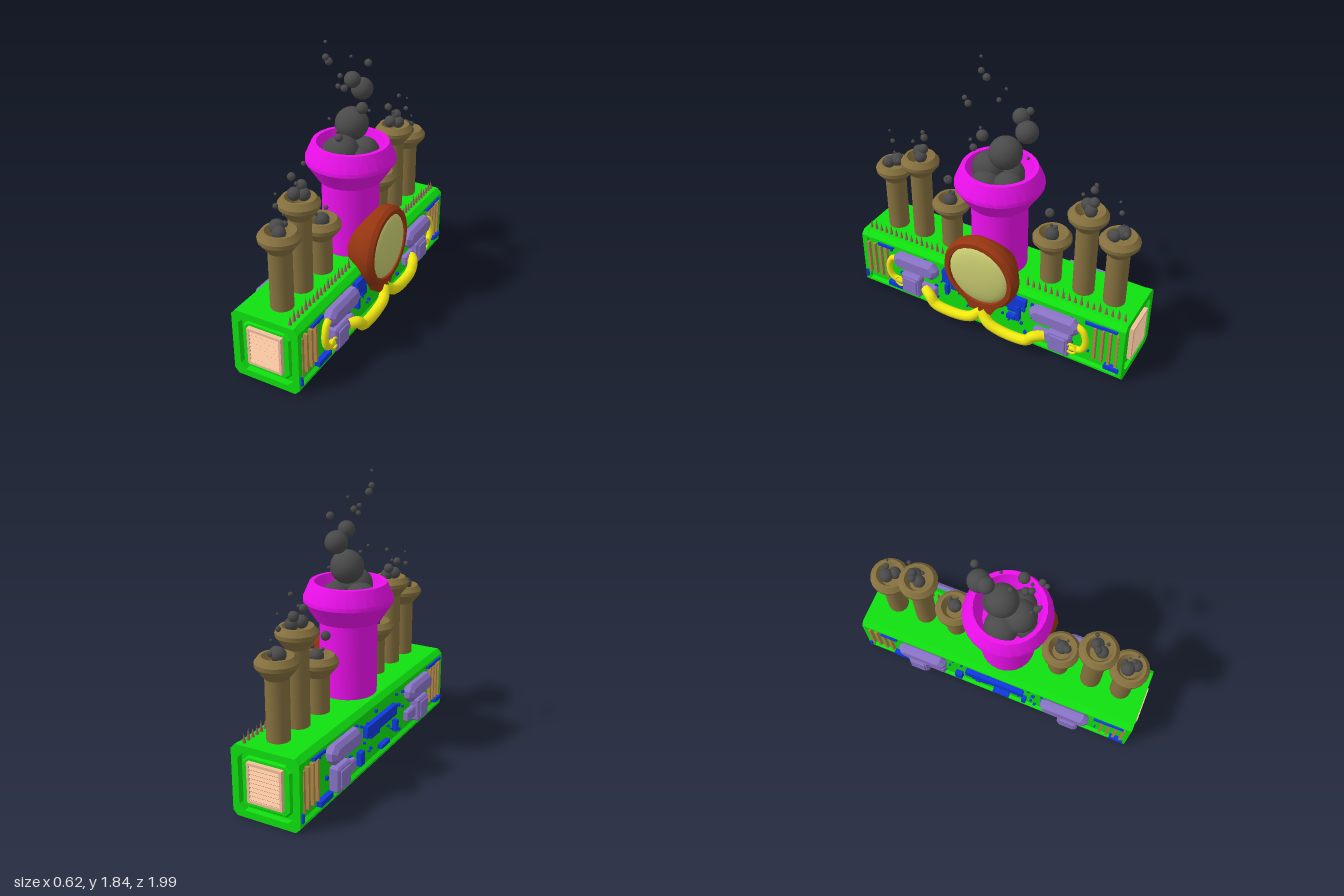
import * as THREE from 'three';
import { toCreasedNormals } from 'three/addons/utils/BufferGeometryUtils.js';

const mat = (color, side = THREE.FrontSide) => new THREE.MeshStandardMaterial({ color, side });
const GREEN = mat(0x10e010), MAGENTA = mat(0xee10ee), BROWN = mat(0x86713f), RUST = mat(0x963510);
const LENS = mat(0xc8cc70), PURPLE = mat(0x8a74c8), YELLOW = mat(0xf0e810), BLUE = mat(0x1038e0);
const PEACH = mat(0xf0c09c), TAN = mat(0xb08a48), SPIKE = mat(0xa0685a), SMOKE = mat(0x4a4a4a);

const V = (x, y, z) => new THREE.Vector3(x, y, z);

function add(parent, name, geo, material, x = 0, y = 0, z = 0) {
  const m = new THREE.Mesh(geo, material);
  m.name = name;
  m.position.set(x, y, z);
  parent.add(m);
  return m;
}
const box = (w, h, d) => new THREE.BoxGeometry(w, h, d);
const polygon = pts => new THREE.Shape(pts.map(p => new THREE.Vector2(...p)));
const lathe = (pts, n = 24) =>
  toCreasedNormals(new THREE.LatheGeometry(pts.map(p => new THREE.Vector2(...p)), n), 0.45);
const tube = (pts, r) => new THREE.TubeGeometry(new THREE.CatmullRomCurve3(pts), 28, r, 10);

// Rectangle with cut corners
const cutRect = (w, h, c) => {
  const a = w / 2, b = h / 2;
  return polygon([[-a + c, -b], [a - c, -b], [a, -b + c], [a, b - c],
    [a - c, b], [-a + c, b], [-a, b - c], [-a, -b + c]]);
};
// Plate standing out along +z with a bevelled front edge
function plate(w, h, d, cut, bevel) {
  return new THREE.ExtrudeGeometry(cutRect(w - 2 * bevel, h - 2 * bevel, cut), {
    depth: d - 2 * bevel, bevelThickness: bevel, bevelSize: bevel, bevelSegments: 1,
  }).translate(0, 0, bevel);
}

// Long casing with recessed sides and framed ends
function casing() {
  const g = new THREE.Group();
  g.name = 'casing';
  g.position.set(-0.025, 0.225, 0);
  const half = [[0.19, -0.225], [0.225, -0.195], [0.225, -0.18], [0.205, -0.165],
    [0.205, 0.165], [0.225, 0.18], [0.225, 0.195], [0.19, 0.225]];
  const section = [...half, ...half.map(([x, y]) => [-x, y]).reverse()];
  add(g, 'casingCore', new THREE.ExtrudeGeometry(polygon(section), { depth: 1.88, bevelEnabled: false }),
    GREEN, 0, 0, -0.94);
  const frame = cutRect(0.45, 0.45, 0.03);
  frame.holes.push(cutRect(0.36, 0.36, 0.035));
  const frameGeo = new THREE.ExtrudeGeometry(frame, { depth: 0.04, bevelEnabled: false });
  for (const s of [1, -1]) {
    const end = new THREE.Group();
    end.name = 'casingEnd';
    end.rotation.y = s > 0 ? 0 : Math.PI;
    g.add(end);
    add(end, 'endFrame', frameGeo, GREEN, 0, 0, 0.94);
    add(end, 'endPanel', plate(0.32, 0.32, 0.03, 0.03, 0.01), GREEN, 0, 0, 0.935);
    // Louvred vent
    for (const t of [-1, 1]) {
      add(end, 'ventSide', box(0.016, 0.25, 0.035), PEACH, t * 0.108, 0.01, 0.975);
      add(end, 'ventRail', box(0.23, 0.016, 0.035), PEACH, 0, 0.01 + t * 0.117, 0.975);
    }
    for (let i = 0; i < 8; i++) {
      const slat = add(end, 'ventSlat', box(0.205, 0.024, 0.008), PEACH, 0, -0.085 + i * 0.027, 0.982);
      slat.rotation.x = -0.8;
    }
  }
  return g;
}

// Fittings of one long side; local x runs along the casing, z points outwards
function sideFittings(s) {
  const g = new THREE.Group();
  g.name = s > 0 ? 'leftSideFittings' : 'rightSideFittings';
  g.rotation.y = s * Math.PI / 2;
  g.position.x = s > 0 ? 0.18 : -0.23;
  for (const e of [1, -1]) {
    add(g, 'canister', plate(0.345, 0.125, 0.08, 0.025, 0.025), PURPLE, e * 0.52, e > 0 ? 0.33 : 0.342, 0);
    add(g, 'pumpBox', plate(0.15, 0.165, 0.07, 0.004, 0.012), PURPLE, e * 0.56, 0.168, 0);
    add(g, 'pumpLid', plate(0.11, 0.12, 0.014, 0.003, 0.004), PURPLE, e * 0.56, 0.168, 0.066);
    add(g, 'pumpOutlet', plate(0.12, 0.08, 0.045, 0.004, 0.01), PURPLE, e * 0.43, 0.16, 0);
    for (let i = 0; i < 4; i++)
      add(g, 'grilleBar', box(0.018, 0.26, 0.03), TAN, e * (0.785 + i * 0.05), 0.24, 0.01);
    if (s > 0) {
      add(g, 'hose', tube([V(e * 0.67, 0.35, 0.04), V(e * 0.715, 0.33, 0.045), V(e * 0.74, 0.25, 0.05),
        V(e * 0.715, 0.18, 0.05), V(e * 0.62, 0.155, 0.04)], 0.022), YELLOW);
      add(g, 'hoseRing', new THREE.TorusGeometry(0.035, 0.008, 8, 20), YELLOW, e * 0.65, 0.165, 0.06);
      add(g, 'mainPipe', tube([V(0, 0.19, 0.06), V(e * 0.06, 0.135, 0.085), V(e * 0.14, 0.105, 0.085),
        V(e * 0.27, 0.098, 0.085), V(e * 0.35, 0.115, 0.085), V(e * 0.39, 0.16, 0.08),
        V(e * 0.45, 0.165, 0.04)], 0.036), YELLOW);
    }
  }
  // Circuit blocks: x, y, width, height
  const blocks = [[-0.78, 0.395, 0.12, 0.02], [-0.705, 0.08, 0.14, 0.035], [0.91, 0.09, 0.1, 0.03],
    [-0.96, 0.09, 0.016, 0.055], [0.78, 0.395, 0.12, 0.02], [0.88, 0.4, 0.1, 0.016]];
  if (s > 0) blocks.push([-0.26, 0.33, 0.12, 0.1], [-0.22, 0.27, 0.06, 0.05], [0.18, 0.33, 0.1, 0.1],
    [0.26, 0.345, 0.09, 0.06], [0.22, 0.28, 0.08, 0.05], [-0.29, 0.22, 0.025, 0.08], [0.25, 0.235, 0.025, 0.09],
    [0.2, 0.2, 0.06, 0.03]);
  else blocks.push([0, 0.285, 0.42, 0.075], [-0.1, 0.24, 0.12, 0.03], [0.22, 0.16, 0.03, 0.08],
    [-0.27, 0.14, 0.05, 0.09], [0.05, 0.1, 0.12, 0.025]);
  for (const [x, y, w, h] of blocks) add(g, 'circuitBlock', box(w, h, 0.05), BLUE, x, y, 0.008);
  let seed = 7;
  const rnd = () => (seed = (seed * 16807) % 2147483647) / 2147483647;
  for (let i = 0; i < 44; i++) {
    const w = 0.01 + rnd() * 0.012;
    add(g, 'circuitStud', box(w, w, 0.024), BLUE, (rnd() - 0.5) * 1.5, 0.08 + rnd() * 0.31, 0.004);
  }
  return g;
}

function smoke(parent, puffs, x = 0, y = 0, z = 0) {
  const g = new THREE.Group();
  g.name = 'smoke';
  g.position.set(x, y, z);
  for (const [px, py, pz, r] of puffs)
    add(g, 'smokePuff', new THREE.SphereGeometry(r, r > 0.03 ? 20 : 10, r > 0.03 ? 14 : 8), SMOKE, px, py, pz);
  parent.add(g);
}

// Round gauge with a domed glass, facing +x
function gauge() {
  const g = new THREE.Group();
  g.name = 'gauge';
  const housing = lathe([[0, 0.02], [0.15, 0.04], [0.2, 0.1], [0.245, 0.17], [0.262, 0.2], [0.262, 0.25],
    [0.245, 0.277], [0.215, 0.277], [0.21, 0.25], [0, 0.25]], 28);
  const dome = [];
  for (let i = 0; i <= 8; i++) {
    const a = i / 8 * Math.PI / 2;
    dome.push([0.213 * Math.cos(a), 0.255 + 0.05 * Math.sin(a)]);
  }
  for (const [n, geo, m] of [['gaugeHousing', housing, RUST], ['gaugeGlass', lathe(dome, 28), LENS]])
    add(g, n, geo, m, 0, 0.5, 0.005).rotation.z = -Math.PI / 2;
  const foot = polygon([[-0.17, 0.32], [-0.115, 0.25], [-0.08, 0.19], [0.08, 0.19], [0.115, 0.25], [0.17, 0.32]].reverse());
  add(g, 'gaugeFoot', new THREE.ExtrudeGeometry(foot, { depth: 0.08, bevelEnabled: false }).rotateY(Math.PI / 2),
    RUST, 0.17, 0, 0.005);
  return g;
}

export function createModel() {
  const root = new THREE.Group();
  root.name = 'chimneyEngine';
  root.add(casing(), sideFittings(1), sideFittings(-1), gauge());

  // Main chimney
  add(root, 'mainChimney', lathe([[0.182, 0.4], [0.182, 0.93], [0.205, 0.93], [0.283, 1.05], [0.283, 1.075],
    [0.24, 1.172], [0.212, 1.172], [0.185, 1.05], [0.16, 1.0], [0, 1.0]], 28), MAGENTA, -0.01, 0, 0.005);
  smoke(root, [[-0.02, 1.27, -0.03, 0.105], [-0.025, 1.45, -0.17, 0.07], [-0.06, 1.52, -0.11, 0.052],
    [0.1, 1.425, 0.06, 0.036], [0, 1.61, -0.2, 0.024], [0.05, 1.58, 0.185, 0.022], [0.03, 1.6, 0.22, 0.016],
    [-0.06, 1.59, 0.04, 0.016], [-0.08, 1.74, 0.17, 0.02], [-0.08, 1.705, 0.135, 0.024],
    [-0.08, 1.83, 0.17, 0.01], [-0.025, 1.695, -0.03, 0.01], [0.01, 1.26, 0.18, 0.024], [-0.06, 1.365, 0.17, 0.01],
    [0.01, 1.3, -0.2, 0.01], [0.01, 1.31, 0.2, 0.012], [-0.02, 1.13, 0.09, 0.105], [-0.1, 1.06, 0, 0.11],
    [0.07, 1.06, 0.06, 0.1], [0.04, 1.07, -0.08, 0.1], [-0.04, 1.05, 0.13, 0.08]]);

  // Six small chimneys: z, top height, puffs relative to the top
  const pipes = [
    [0.81, 0.95, [[-0.02, 0.01, -0.01, 0.045], [0.02, 0, 0.03, 0.04], [0.01, 0.02, -0.04, 0.02],
      [-0.01, 0.15, 0.01, 0.016], [0, 0.23, 0.02, 0.008], [0.02, 0.09, -0.02, 0.008]]],
    [0.6, 1.06, [[-0.02, 0.02, 0.02, 0.04], [0.02, 0.01, -0.02, 0.04], [0, 0.06, -0.03, 0.032],
      [-0.05, 0.11, -0.005, 0.025], [0.01, 0.19, -0.04, 0.014], [0.01, 0.1, 0.04, 0.012]]],
    [0.37, 0.81, [[-0.03, 0.11, 0.04, 0.03], [0.01, -0.01, 0, 0.045], [0.02, 0.06, -0.03, 0.014],
      [-0.02, 0.03, 0.02, 0.012], [0.01, 0.15, 0.03, 0.008]]],
  ];
  for (const [z, top, puffs] of pipes) {
    const geo = lathe([[0.07, 0.42], [0.07, top - 0.13], [0.124, top - 0.06], [0.126, top - 0.035],
      [0.1, top], [0.084, top], [0.062, top - 0.05], [0.055, top - 0.07], [0, top - 0.07]], 20);
    for (const s of [1, -1]) {
      add(root, 'smallChimney', geo, BROWN, -0.01, 0, s * z);
      smoke(root, puffs, -0.01, top, s * z);
    }
  }

  // Row of spikes along the top edge
  for (const s of [1, -1])
    for (let i = 0; i < 17; i++) {
      const h = 0.06 + 0.018 * (i % 3 === 0);
      add(root, 'spike', new THREE.ConeGeometry(0.012, h, 6), SPIKE, 0.13, 0.447 + h / 2, s * (0.28 + i * 0.0415));
    }
  return root;
}
